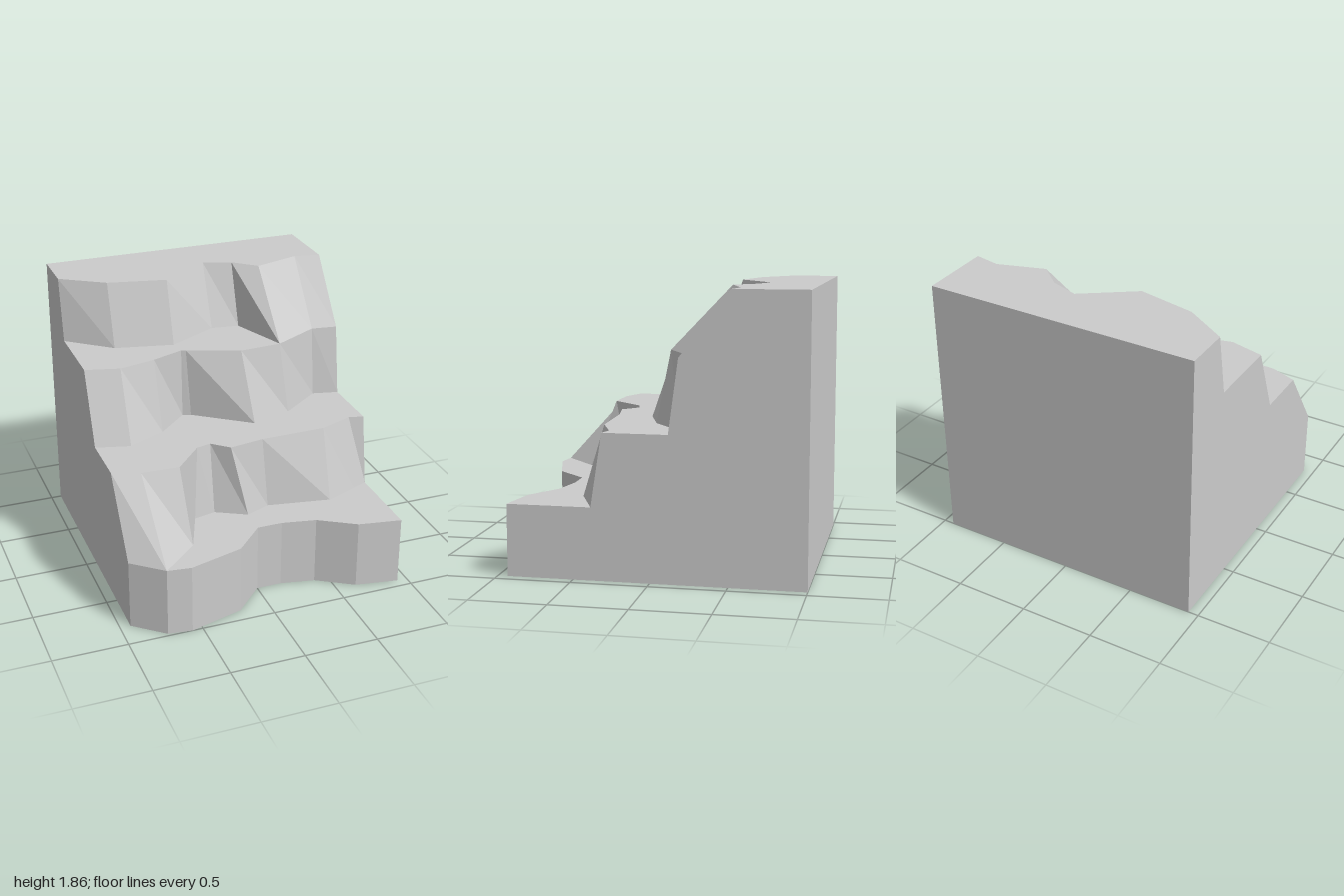
import * as THREE from 'three';

const W = 0.93, BACK = -1;
const material = new THREE.MeshStandardMaterial({ color: 0xcccccc, flatShading: true });

// Each terrace: floor and roof height, and the [x, z] front lines at its foot and its lip
const base = [[-W, 0.81], [-0.73, 0.98], [-0.57, 1], [-0.2, 0.895], [0, 0.69], [0.17, 0.69], [0.4, 0.735], [0.64, 0.885], [W, 0.935]];
const terraces = [
  { y0: 0, y1: 0.475, foot: base, lip: base },
  {
    y0: 0.475, y1: 0.955,
    foot: [[-W, 0.81], [-0.73, 0.98], [-0.475, 0.75], [-0.35, 0.435], [-0.2, 0.4], [0, 0.51], [0.17, 0.44], [0.6, 0.515], [0.83, 0.42], [W, 0.38]],
    lip: [[-W, 0.48], [-0.75, 0.55], [-0.495, 0.56], [-0.3, 0.345], [-0.2, 0.32], [-0.09, 0.42], [0.15, 0.38], [0.6, 0.37], [0.83, 0.28], [W, 0.305]],
  },
  {
    y0: 0.955, y1: 1.435,
    foot: [[-W, 0.11], [-0.7, 0.17], [-0.44, 0.045], [-0.23, -0.155], [-0.175, -0.135], [0.19, 0.14], [0.475, 0.05], [0.755, -0.16], [W, -0.12]],
    lip: [[-W, -0.08], [-0.7, -0.02], [-0.45, -0.08], [-0.23, -0.165], [-0.2, -0.155], [0.15, -0.02], [0.44, -0.04], [0.755, -0.21], [W, -0.185]],
  },
  {
    y0: 1.435, y1: 1.86,
    foot: [[-W, -0.6], [-0.64, -0.36], [-0.245, -0.275], [0.1, -0.465], [0.29, -0.44], [0.44, -0.04], [0.755, -0.21], [W, -0.185]],
    lip: [[-W, -0.68], [-0.64, -0.49], [-0.245, -0.405], [0.1, -0.645], [0.29, -0.58], [0.44, -0.445], [0.755, -0.545], [W, -0.51]],
  },
];
const backLine = [[-W, BACK], [W, BACK]];

const lift = (line, y) => line.map(([x, z]) => [x, y, z]);

// Depth of a front line at a given x
function depthAt(line, x) {
  let i = 1;
  while (i < line.length - 1 && line[i][0] < x) i++;
  const [x0, z0] = line[i - 1], [x1, z1] = line[i];
  return z0 + (z1 - z0) * (x - x0) / (x1 - x0);
}

// Band of triangles between two rows with equal point counts
function strip(name, a, b) {
  const positions = [];
  for (let i = 0; i < a.length - 1; i++) {
    positions.push(...a[i], ...a[i + 1], ...b[i], ...a[i + 1], ...b[i + 1], ...b[i]);
  }
  const geometry = new THREE.BufferGeometry();
  geometry.setAttribute('position', new THREE.Float32BufferAttribute(positions, 3));
  geometry.computeVertexNormals();
  const mesh = new THREE.Mesh(geometry, material);
  mesh.name = name;
  return mesh;
}

// Level surface between two lines, sampled at every corner of both
function level(name, a, b, y) {
  const xs = [...new Set([...a, ...b].map((p) => p[0]))].sort((p, q) => p - q);
  const row = (line) => xs.map((x) => [x, y, depthAt(line, x)]);
  return strip(name, row(a), row(b));
}

export function createModel() {
  const group = new THREE.Group();
  group.name = 'terracedCliff';

  // Rock faces and the ledges above them
  terraces.forEach((t, i) => {
    const next = terraces[i + 1];
    group.add(strip(`rockFace${i + 1}`, lift(t.foot, t.y0), lift(t.lip, t.y1)));
    group.add(level(`ledge${i + 1}`, t.lip, next ? next.foot : backLine, t.y1));
  });

  // Flat side walls following the stepped profile
  const sideRows = (end) => {
    const front = terraces.flatMap((t) => [[t.y0, t.foot], [t.y1, t.lip]])
      .map(([y, line]) => [...lift([line.at(end)], y)[0]]);
    return [front, front.map(([x, y]) => [x, y, BACK])];
  };
  const [rightFront, rightBack] = sideRows(0);
  const [leftFront, leftBack] = sideRows(-1);
  group.add(strip('rightWall', rightFront, rightBack));
  group.add(strip('leftWall', leftBack, leftFront));

  // Back wall and underside
  group.add(strip('backWall', lift(backLine, terraces.at(-1).y1), lift(backLine, 0)));
  group.add(level('underside', backLine, base, 0));
  return group;
}
